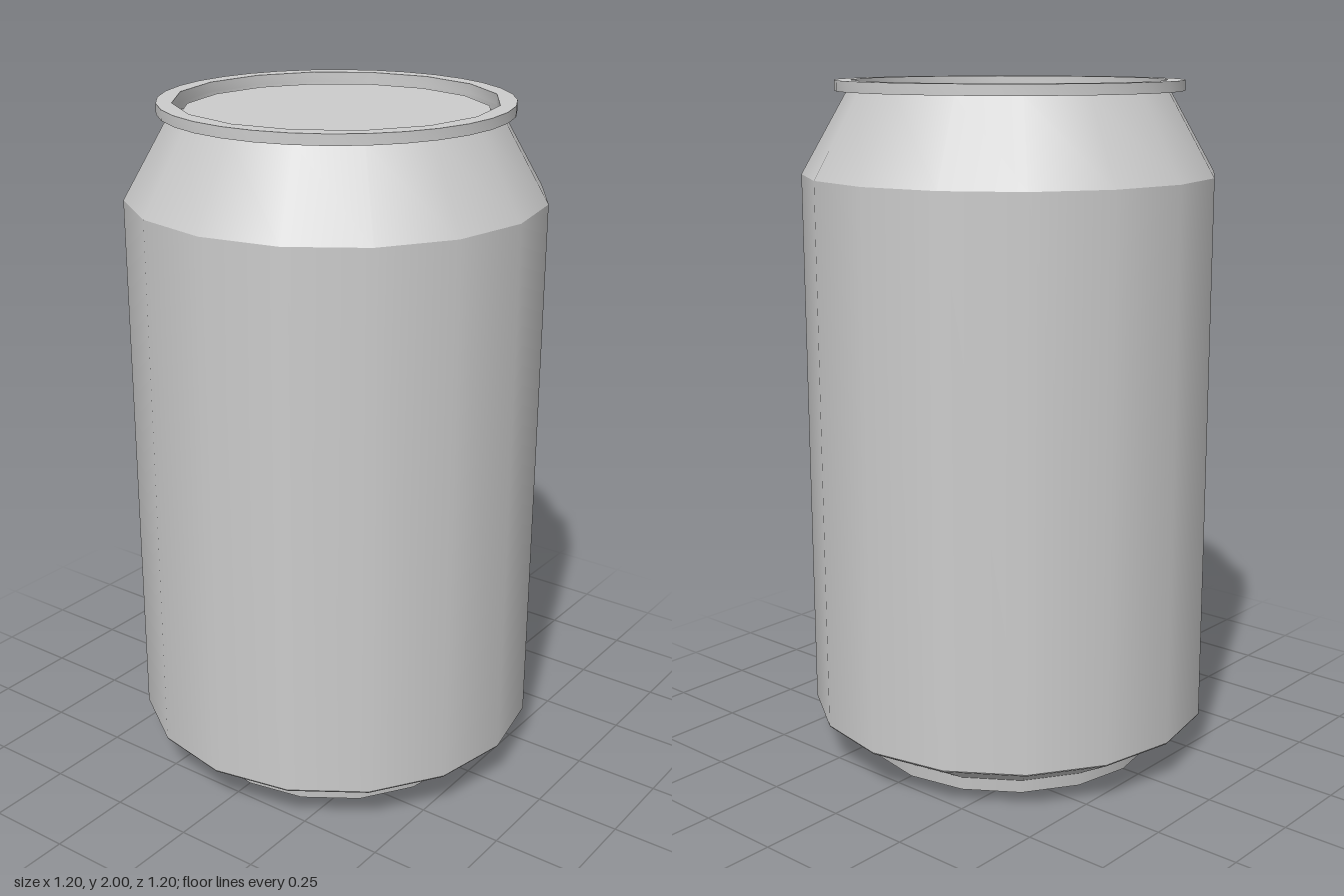
import * as THREE from 'three';
import { toCreasedNormals } from 'three/addons/utils/BufferGeometryUtils.js';

const SIDES = 16;
const material = new THREE.MeshStandardMaterial({ color: 0xcccccc, side: THREE.DoubleSide });

// Turned part from [radius, height] pairs, smooth along its profile
function turned(name, profile) {
  const points = profile.map(([r, y]) => new THREE.Vector2(r, y));
  const mesh = new THREE.Mesh(new THREE.LatheGeometry(points, SIDES), material);
  mesh.name = name;
  return mesh;
}

// Regular polygon with a corner on each axis
function polygon(radius, sides) {
  return Array.from({ length: sides }, (_, i) => {
    const a = (i / sides) * Math.PI * 2;
    return new THREE.Vector2(Math.cos(a) * radius, Math.sin(a) * radius);
  });
}

export function createModel() {
  const can = new THREE.Group();
  can.name = 'drinkCan';

  // Wall and tapered shoulders
  can.add(turned('body', [[0.6, 0.13], [0.6, 1.735]]));
  can.add(turned('shoulder', [[0.6, 1.735], [0.465, 1.97]]));
  can.add(turned('lowerTaper', [[0.45, 0.04], [0.597, 0.125], [0.6, 0.13]]));

  // Foot ring and the hollow underside
  can.add(turned('footWall', [[0.445, 0], [0.45, 0.04]]));
  can.add(turned('footEdge', [[0.415, 0], [0.445, 0]]));
  can.add(turned('baseHollow', [[0, 0.08], [0.25, 0.07], [0.36, 0.045], [0.415, 0]]));

  // Overhanging rim, rounder outside than inside
  const ring = new THREE.Shape(polygon(0.5, 32));
  ring.holes.push(new THREE.Path(polygon(0.456, SIDES)));
  const rimGeometry = new THREE.ExtrudeGeometry(ring, { depth: 0.03, bevelEnabled: false });
  rimGeometry.rotateX(-Math.PI / 2).translate(0, 1.97, 0);
  const rim = new THREE.Mesh(toCreasedNormals(rimGeometry, 0.5), material);
  rim.name = 'rim';
  can.add(rim);

  // Sunken lid with a narrow groove around it
  can.add(turned('rimInnerWall', [[0.456, 1.97], [0.456, 1.95]]));
  can.add(turned('lidGroove', [[0.456, 1.95], [0.436, 1.95]]));
  can.add(turned('lidStep', [[0.436, 1.95], [0.436, 1.968]]));
  can.add(turned('lid', [[0.436, 1.968], [0, 1.968]]));

  return can;
}
